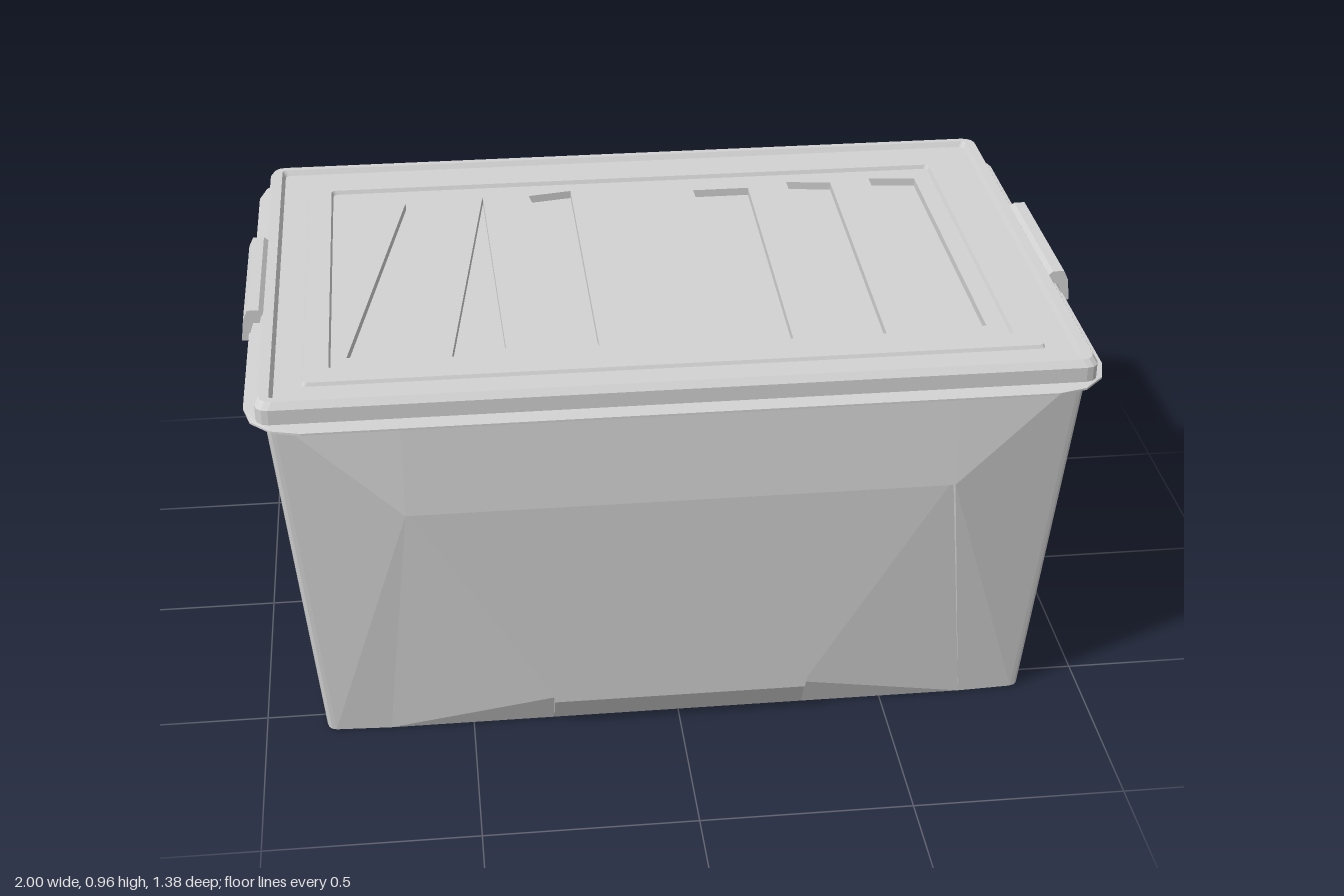
import * as THREE from 'three';
import { ConvexGeometry } from 'three/addons/geometries/ConvexGeometry.js';

const SEG = 3; // segments in each rounded corner

// rounded rectangle at height y: half sizes hx, hz and corner radius r
function ring([hx, hz, y, r]) {
  const pts = [];
  [[1, 1], [-1, 1], [-1, -1], [1, -1]].forEach(([sx, sz], q) => {
    for (let k = 0; k <= SEG; k++) {
      const a = (q + k / SEG) * Math.PI / 2;
      pts.push([sx * (hx - r) + r * Math.cos(a), y, -(sz * (hz - r) + r * Math.sin(a))]);
    }
  });
  return pts;
}

// skin over a stack of rings
function loft(levels) {
  const rings = levels.map(ring), n = rings[0].length, pos = [];
  for (let i = 0; i + 1 < rings.length; i++) {
    for (let j = 0; j < n; j++) {
      const k = (j + 1) % n;
      const a = rings[i][j], b = rings[i][k], c = rings[i + 1][k], d = rings[i + 1][j];
      pos.push(...a, ...b, ...c, ...a, ...c, ...d);
    }
  }
  const g = new THREE.BufferGeometry();
  g.setAttribute('position', new THREE.Float32BufferAttribute(pos, 3));
  g.computeVertexNormals();
  return g;
}

export function createModel() {
  const root = new THREE.Group();
  root.name = 'storageBin';
  const plastic = new THREE.MeshStandardMaterial({ color: 0xd2d2d2 });
  plastic.name = 'grey plastic';
  const add = (geometry, name, parent = root) => {
    const m = new THREE.Mesh(geometry, plastic);
    m.name = name;
    parent.add(m);
  };

  // inner tub with straight tapered corners, underside and foot ridge
  const foot = [0.853, 0.563], rim = [0.934, 0.622], TOP = 0.905, LEG = 0.65, R = 0.02;
  add(loft([
    [0, 0, 0.012, 0], [0.81, 0.52, 0.012, 0.02], [0.815, 0.525, 0, 0.02],
    [...foot, 0, R], [...rim, TOP, R],
  ]), 'tub');

  // walls bulge from the corners; d values are distances from the middle
  const longSide = {
    along: 0, legTop: 0.635, legFoot: 0.7, midTop: 0.365, midFoot: 0.305,
    dFoot: 0.57, dLedge: 0.62, dLeg: 0.648, dTop: 0.632,
  };
  const shortSide = {
    along: 1, legTop: 0.315, legFoot: 0.4, midTop: 0.1, midFoot: 0.075,
    dFoot: 0.86, dLedge: 0.905, dLeg: 0.938, dTop: 0.95,
  };
  ['front', 'left', 'back', 'right'].forEach((name, turn) => {
    const s = turn % 2 ? shortSide : longSide;
    const group = new THREE.Group();
    group.name = name + 'Wall';
    group.rotation.y = turn * Math.PI / 2;
    root.add(group);

    // point on the corner line at height y, as [u, y, d]
    const corner = (y) => {
      const at = (axis) => THREE.MathUtils.lerp(foot[axis], rim[axis], y / TOP);
      return [at(s.along) - R, y, at(1 - s.along) + 0.001];
    };
    // solid panel behind the given face points
    const panel = (points, part) => add(new ConvexGeometry(points.flatMap(([u, y, d]) => [
      new THREE.Vector3(u, y, d), new THREE.Vector3(u, y, d - 0.05),
    ])), part, group);
    const mirror = (points) => points.map(([u, y, d]) => [-u, y, d]);
    const both = (points) => [...points, ...mirror(points)];

    panel(both([
      corner(LEG), [s.legTop, LEG, s.dLeg], corner(TOP), [s.legTop, TOP, s.dTop],
    ]), 'upperBand');
    panel(both([[s.midFoot, 0.08, s.dLedge], [s.midTop, LEG, s.dLeg]]), 'centrePanel');
    panel(both([[s.midFoot, 0, s.dFoot], [s.midFoot, 0.08, s.dLedge - 0.006]]), 'lowerStrip');

    const sidePanel = [
      corner(0), [s.legFoot, 0, s.dFoot], corner(LEG), [s.legTop, LEG, s.dLeg],
    ];
    const channel = [
      [s.legFoot, 0, s.dFoot], [s.midFoot, 0, s.dFoot], [s.midFoot, 0.08, s.dLedge - 0.02],
      [s.legTop, LEG, s.dLeg - 0.022], [s.midTop, LEG, s.dLeg - 0.022],
    ];
    for (const flip of [(p) => p, mirror]) {
      panel(flip(sidePanel), 'sidePanel');
      panel(flip(channel), 'legChannel');
    }
  });

  // lid: thin flat lip, upright rim and stepped border
  const lid = new THREE.Group();
  lid.name = 'lid';
  root.add(lid);
  add(loft([
    [0.88, 0.56, 0.899, 0.03], [0.982, 0.69, 0.899, 0.13], [0.982, 0.69, 0.904, 0.13],
    [0.952, 0.648, 0.906, 0.03], [0.952, 0.648, 0.942, 0.03], [0.943, 0.635, 0.957, 0.03],
    [0.92, 0.618, 0.957, 0.01], [0.912, 0.61, 0.944, 0.01],
    [0.85, 0.55, 0.944, 0.01], [0.846, 0.546, 0.952, 0.01], [0.79, 0.485, 0.952, 0.01],
    [0.786, 0.481, 0.942, 0.01],
  ]), 'lidRim', lid);

  // sloping web between the rim and the lip at the back
  add(new ConvexGeometry([
    [-0.93, 0.942, -0.645], [0.93, 0.942, -0.645], [-0.93, 0.9, -0.645],
    [0.93, 0.9, -0.645], [0.85, 0.9, -0.69],
  ].map((p) => new THREE.Vector3(...p))), 'backWeb', lid);

  // lid plate with sunken slots, outlines as x, z
  const v = (pts) => pts.map(([x, z]) => new THREE.Vector2(x, -z));
  const plate = new THREE.Shape(v([[-0.787, 0.482], [0.787, 0.482], [0.787, -0.482], [-0.787, -0.482]]));
  const slots = [
    [[-0.75, 0.42], [-0.6, 0.41], [-0.6, -0.41]],
    [[-0.51, 0.44], [-0.385, 0.41], [-0.4, -0.43]],
    [[-0.28, -0.42], [-0.17, 0.43], [-0.17, -0.44]],
    [[0.17, 0.435], [0.28, 0.435], [0.295, -0.41], [0.15, -0.41]],
    [[0.395, 0.435], [0.5, 0.435], [0.515, -0.42], [0.4, -0.435]],
    [[0.62, 0.435], [0.74, 0.42], [0.74, -0.42], [0.62, -0.435]],
  ];
  for (const s of slots) plate.holes.push(new THREE.Path(v(s)));
  const plateGeo = new THREE.ExtrudeGeometry(plate, { depth: 0.02, bevelEnabled: false });
  plateGeo.rotateX(-Math.PI / 2).translate(0, 0.922, 0);
  add(plateGeo, 'lidPlate', lid);
  add(new THREE.BoxGeometry(1.57, 0.01, 0.96).translate(0, 0.917, 0), 'slotFloor', lid);

  // clip handles at both ends
  const hook = new THREE.Shape([
    [0.94, 0.95], [0.955, 0.963], [0.982, 0.963], [0.993, 0.94], [1, 0.885],
    [0.985, 0.885], [0.97, 0.93], [0.945, 0.93],
  ].map(([x, y]) => new THREE.Vector2(x, y)));
  for (const turn of [0, Math.PI]) {
    const g = new THREE.ExtrudeGeometry(hook, { depth: 0.4, bevelEnabled: false });
    g.translate(0, 0, -0.2).rotateY(turn);
    add(g, turn ? 'rightClip' : 'leftClip');
  }
  return root;
}
